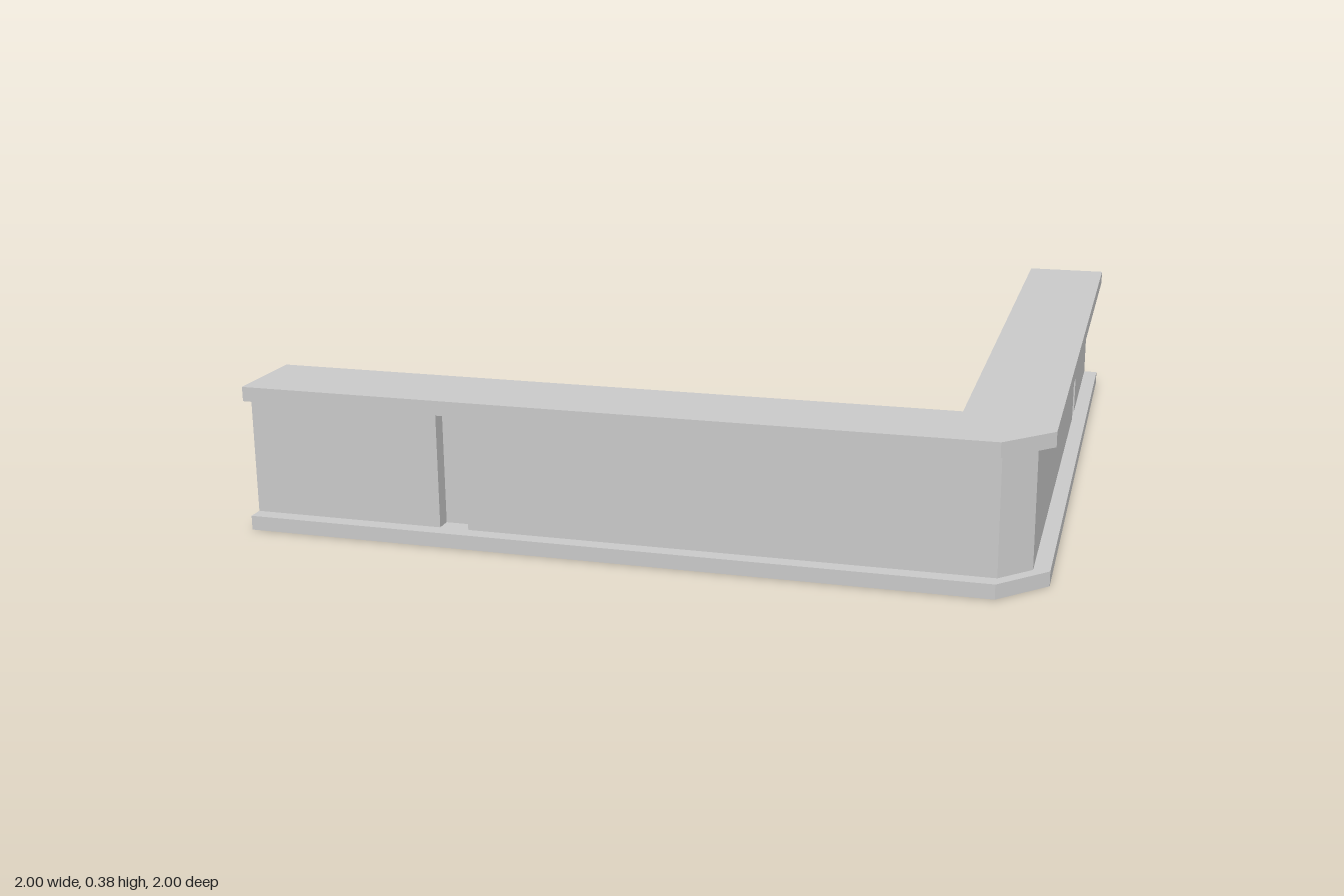
import * as THREE from 'three';

const material = new THREE.MeshStandardMaterial({ color: 0xcccccc, flatShading: true });

// Extrude an outline of [x, z] points upward from y0 to y1
function slab(name, outline, y0, y1) {
  const shape = new THREE.Shape(outline.map(([x, z]) => new THREE.Vector2(x, -z)));
  const geometry = new THREE.ExtrudeGeometry(shape, { depth: y1 - y0, bevelEnabled: false });
  geometry.rotateX(-Math.PI / 2).translate(0, y0, 0);
  const mesh = new THREE.Mesh(geometry, material);
  mesh.name = name;
  return mesh;
}

export function createModel() {
  const group = new THREE.Group();
  group.name = 'cornerBeam';

  const inner = 0.77, outer = 1, cut = 0.885; // arm faces and corner chamfer
  const web = 0.96, grooveFloor = 0.92;       // recessed wall and its slots
  const railHeight = 0.037, height = 0.377;

  // Back edge shared by the rails and the wall
  const back = [[outer, -1], [inner, -1], [inner, inner], [-1, inner]];

  // L-shaped rails with a chamfered outer corner
  const rail = [...back, [-1, outer], [cut, outer], [outer, cut]];
  group.add(slab('bottomRail', rail, 0, railHeight));
  group.add(slab('topRail', rail, height - railHeight, height));

  // Wall between the rails, with one vertical slot in each arm
  const wall = [
    [web, -1], ...back.slice(1),
    [-1, web], [-0.5, web], [-0.5, grooveFloor], [-0.425, grooveFloor], [-0.425, web],
    [cut, web], [web, cut],
    [web, -0.42], [grooveFloor, -0.425], [grooveFloor, -0.5], [web, -0.5],
  ];
  group.add(slab('wall', wall, railHeight, height - railHeight));

  return group;
}
